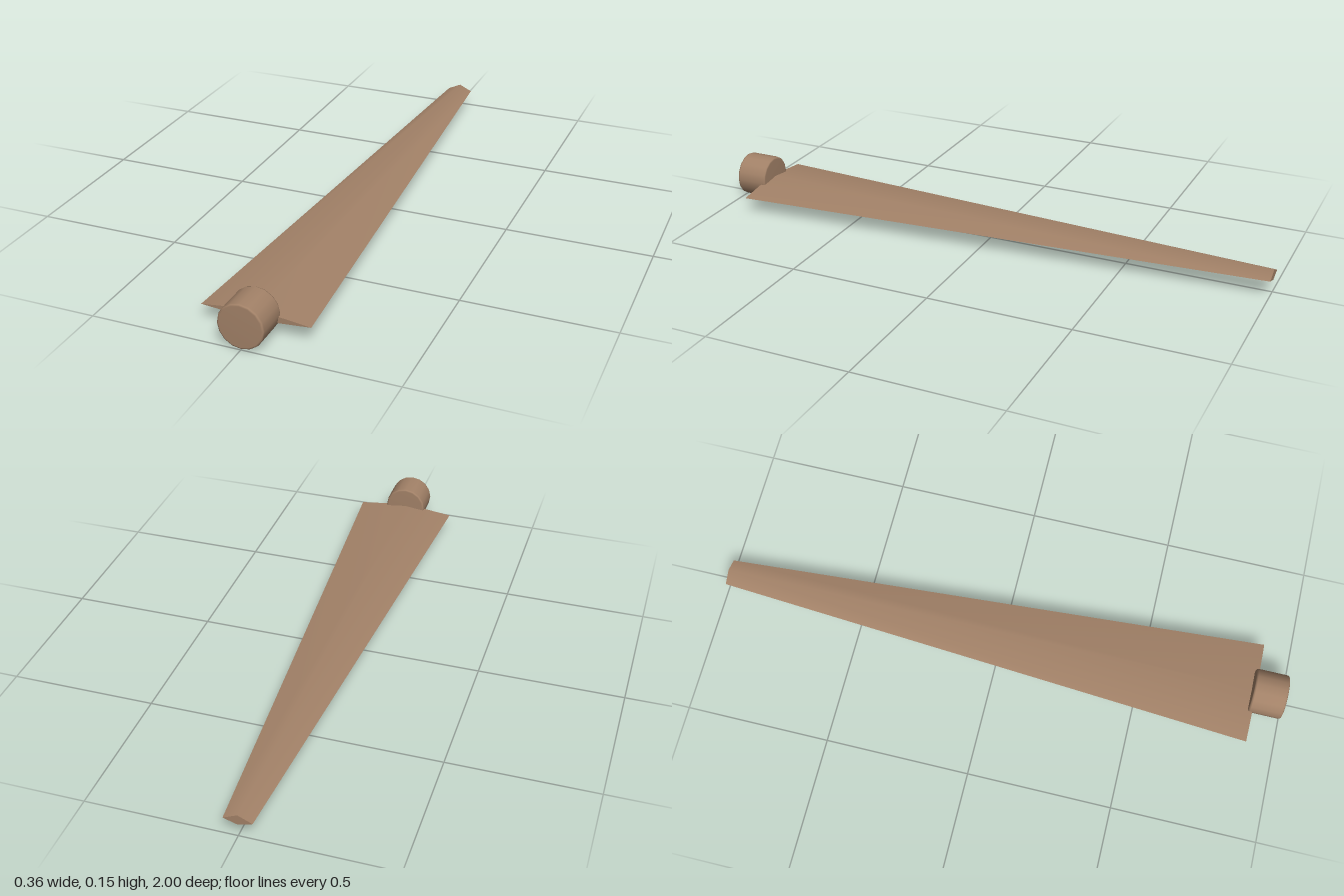
import * as THREE from 'three';
import { mergeGeometries } from 'three/addons/utils/BufferGeometryUtils.js';

const wood = new THREE.MeshStandardMaterial({ color: 0xa38268 });
wood.name = 'tanBrown';

// Diamond section: left edge, ridge, right edge, keel
const EDGE_Y = 0.059, RIDGE_Y = 0.081, KEEL_Y = 0.044;
const section = (halfWidth, z) => [
  [-halfWidth, EDGE_Y, z], [0, RIDGE_Y, z], [halfWidth, EDGE_Y, z], [0, KEEL_Y, z],
];

function surface(points, index) {
  const g = new THREE.BufferGeometry();
  g.setAttribute('position', new THREE.Float32BufferAttribute(points.flat(), 3));
  g.setIndex(index);
  g.computeVertexNormals();
  return g;
}

// Tapered blade: smooth upper and lower skins with sharp side edges and flat ends
function bladeGeometry() {
  const root = section(0.18, 0.9);
  const tip = section(0.047, -1);
  const skin = (ids) => surface(
    [...ids.map((i) => root[i]), ...ids.map((i) => tip[i])],
    [0, 1, 4, 0, 4, 3, 1, 2, 5, 1, 5, 4]
  );
  return mergeGeometries([
    skin([0, 1, 2]),
    skin([2, 3, 0]),
    surface(root, [0, 2, 1, 0, 3, 2]),
    surface(tip, [0, 1, 2, 0, 2, 3]),
  ]);
}

// Sixteen-sided hub with a softly rounded rim at both ends
function hubGeometry() {
  const r = 0.0765, b = 0.007, half = 0.058;
  const profile = [[0, -half]];
  for (const a of [-90, -45, 0]) {
    const t = THREE.MathUtils.degToRad(a);
    profile.push([r - b + b * Math.cos(t), -half + b + b * Math.sin(t)]);
  }
  const mirrored = profile.map(([x, y]) => [x, -y]).reverse();
  const points = [...profile, ...mirrored].map(([x, y]) => new THREE.Vector2(x, y));
  return new THREE.LatheGeometry(points, 16).rotateX(Math.PI / 2).translate(0, r, 1 - half);
}

export function createModel() {
  const model = new THREE.Group();
  model.name = 'taperedBlade';

  const blade = new THREE.Mesh(bladeGeometry(), wood);
  blade.name = 'blade';

  const hub = new THREE.Mesh(hubGeometry(), wood);
  hub.name = 'hub';

  model.add(blade, hub);
  return model;
}
